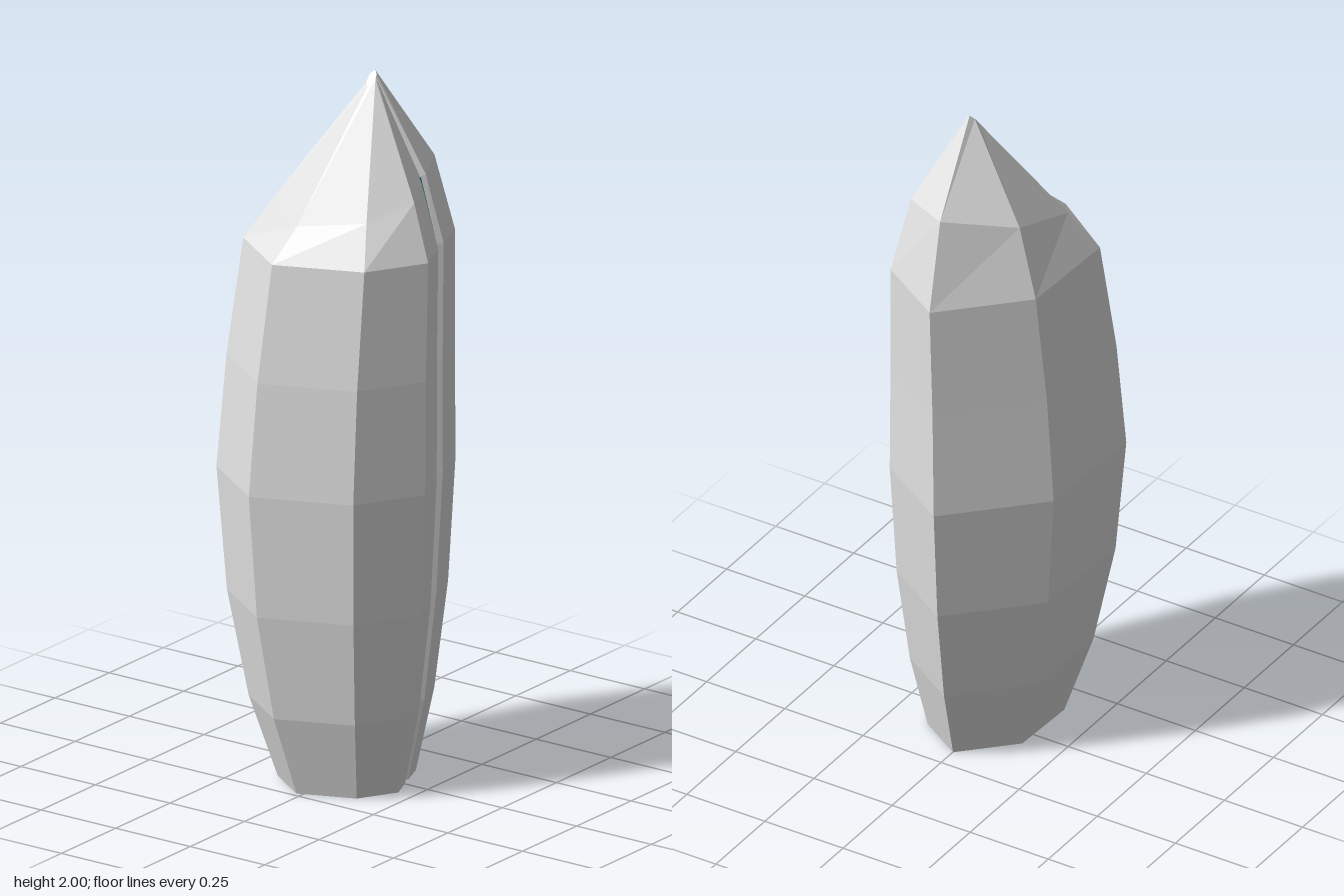
import * as THREE from 'three';

const stone = new THREE.MeshStandardMaterial({ color: 0xe2e2e2 });
stone.name = 'pale grey stone';
stone.flatShading = true;
const teal = new THREE.MeshStandardMaterial({ color: 0x1a8a9c });
teal.name = 'teal inlay';
teal.flatShading = true;

// Plan of the widest section, clockwise from above; corners 4 to 7 form the front groove
const plan = [
  [-0.22, -0.298], [0.13, -0.285], [0.367, -0.05], [0.225, 0.18],
  [0.1, 0.228], [0.08, 0.212], [0.057, 0.218], [0.042, 0.25],
  [-0.077, 0.298], [-0.26, 0.19], [-0.37, -0.08],
];
// Body levels: height, scale, x offset, z offset
const levels = [
  [0, 0.578, -0.022, 0.028], [0.23, 0.776, -0.02, 0.02], [0.53, 0.925, -0.01, 0.008],
  [0.88, 1, 0, 0], [1.2, 0.955, 0.011, 0.005], [1.53, 0.885, 0.035, 0.012],
];
const tip = [0.068, 0.016];
const tipHeight = (x) => 2 - (0.083 - x) * 1.2;

// Body rings, then a tilted knee and a tilted tip facet
function makeRings(section) {
  const rings = levels.map(([y, s, ox, oz]) =>
    section.map(([x, z]) => [x * s + ox, y, z * s + oz]));
  const shoulder = rings[rings.length - 1];
  const towardTip = (t, heightAt) => shoulder.map(([x, , z]) => {
    const px = x + (tip[0] - x) * t;
    return [px, heightAt(px), z + (tip[1] - z) * t];
  });
  rings.push(towardTip(0.25, (x) => 1.685 + 0.33 * x));
  rings.push(towardTip(0.95, tipHeight));
  return rings;
}

// Facets between successive rings, optionally closed round and capped
function loft(rings, closed) {
  const out = [];
  const n = rings[0].length;
  const tri = (a, b, c) => out.push(...a, ...b, ...c);
  for (let r = 0; r < rings.length - 1; r++) {
    const lo = rings[r], hi = rings[r + 1];
    for (let i = 0; i < (closed ? n : n - 1); i++) {
      const j = (i + 1) % n;
      tri(lo[i], hi[i], lo[j]);
      tri(hi[i], hi[j], lo[j]);
    }
  }
  if (closed) {
    const first = rings[0], last = rings[rings.length - 1];
    const bottom = [levels[0][2], 0, levels[0][3]];
    const top = [tip[0], tipHeight(tip[0]), tip[1]];
    for (let i = 0; i < n; i++) {
      const j = (i + 1) % n;
      tri(bottom, first[i], first[j]);
      tri(top, last[j], last[i]);
    }
  }
  const geometry = new THREE.BufferGeometry();
  geometry.setAttribute('position', new THREE.Float32BufferAttribute(out, 3));
  geometry.computeVertexNormals();
  return geometry;
}

export function createModel() {
  const model = new THREE.Group();
  model.name = 'standingStone';

  const body = new THREE.Mesh(loft(makeRings(plan), true), stone);
  body.name = 'stoneBody';
  model.add(body);

  // Inlay strip lying just proud of the groove floor
  const floor = [plan[5], plan[6]].map(([x, z]) => [x, z + 0.005]);
  const inlay = new THREE.Mesh(loft(makeRings(floor).slice(2, 7), false), teal);
  inlay.name = 'grooveInlay';
  model.add(inlay);

  return model;
}
